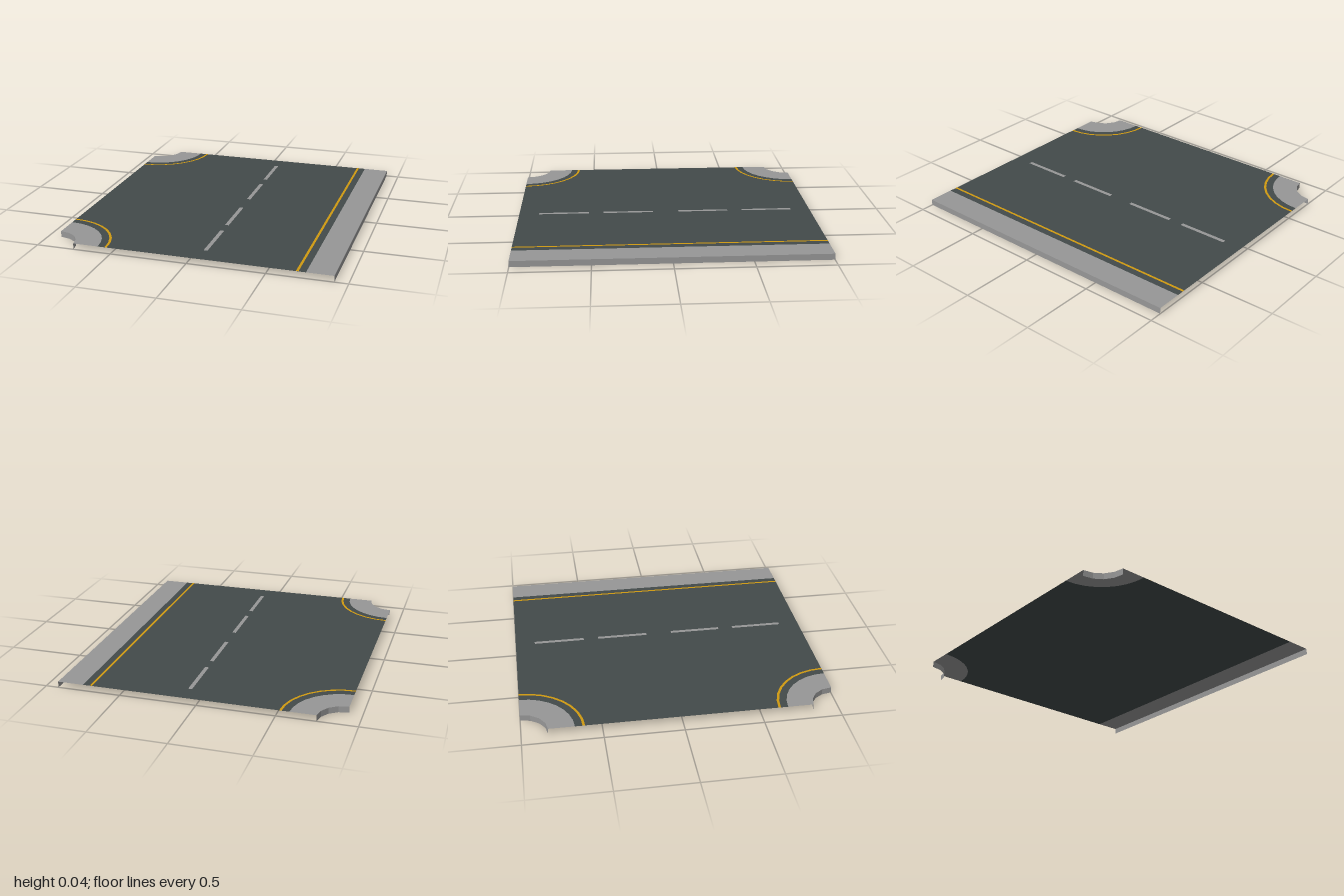
import * as THREE from 'three';

const HALF_X = 0.915, HALF_Z = 1, TOP = 0.04;

const mat = (name, color) => {
  const m = new THREE.MeshStandardMaterial({ color, side: THREE.DoubleSide });
  m.name = name;
  return m;
};

// Points of a quarter circle around a left-edge corner, from the side edge to the end edge.
// sign = -1 is the back corner, +1 the front corner.
function cornerArc(sign, radius, segments = 8) {
  const points = [];
  for (let i = 0; i <= segments; i++) {
    const a = (i / segments) * Math.PI / 2;
    points.push([-HALF_X + radius * Math.sin(a), sign * (HALF_Z - radius * Math.cos(a))]);
  }
  return points;
}

export function createModel() {
  const group = new THREE.Group();
  const asphalt = mat('asphalt', 0x434a4a);
  const concrete = mat('concrete', 0x979797);
  const yellow = mat('yellowPaint', 0xd09a10);

  const add = (name, geometry, material) => {
    const mesh = new THREE.Mesh(geometry, material);
    mesh.name = name;
    group.add(mesh);
  };

  // Flat upward-facing sheet from [x, z] outline points
  const sheet = (name, points, material, y = TOP) => {
    const shape = new THREE.Shape(points.map(([x, z]) => new THREE.Vector2(x, -z)));
    add(name, new THREE.ShapeGeometry(shape).rotateX(-Math.PI / 2).translate(0, y, 0), material);
  };
  const rect = (name, x0, x1, z0, z1, material, y) =>
    sheet(name, [[x0, z0], [x0, z1], [x1, z1], [x1, z0]], material, y);

  // Upright curb strip below a line of [x, z] points, with flat facets
  const wall = (name, points, material) => {
    const pos = [];
    for (let i = 0; i < points.length - 1; i++) {
      const [ax, az] = points[i], [bx, bz] = points[i + 1];
      pos.push(ax, 0, az, bx, 0, bz, bx, TOP, bz, ax, 0, az, bx, TOP, bz, ax, TOP, az);
    }
    const g = new THREE.BufferGeometry();
    g.setAttribute('position', new THREE.Float32BufferAttribute(pos, 3));
    g.computeVertexNormals();
    add(name, g, material);
  };

  const walkX = 0.745, paintY = TOP + 0.001;

  // Road surface with both left corners cut round
  sheet('roadSurface', [
    ...cornerArc(-1, 0.33),
    [walkX, -HALF_Z], [walkX, HALF_Z],
    ...cornerArc(1, 0.33).reverse(),
  ], asphalt);

  // Straight sidewalk with its outer wall
  rect('straightSidewalk', walkX, HALF_X, -HALF_Z, HALF_Z, concrete);
  wall('straightSidewalkWall', [[HALF_X, HALF_Z], [HALF_X, -HALF_Z]], concrete);

  // Curved corner sidewalks, their walls and edge lines
  for (const [side, sign] of [['back', -1], ['front', 1]]) {
    const inner = cornerArc(sign, 0.165, 4);
    sheet(side + 'CornerSidewalk', [...cornerArc(sign, 0.33), ...[...inner].reverse()], concrete);
    wall(side + 'CornerWall', sign < 0 ? [...inner].reverse() : inner, concrete);
    sheet(side + 'CornerLine',
      [...cornerArc(sign, 0.393), ...cornerArc(sign, 0.377).reverse()], yellow, paintY);
  }

  // Straight edge line
  rect('straightEdgeLine', 0.684, 0.7, -HALF_Z, HALF_Z, yellow, paintY);

  // Centre dashes
  for (const z of [-0.7, -0.26, 0.255, 0.695])
    rect('centreDash', 0.067, 0.093, z - 0.17, z + 0.17, concrete, paintY);

  return group;
}
